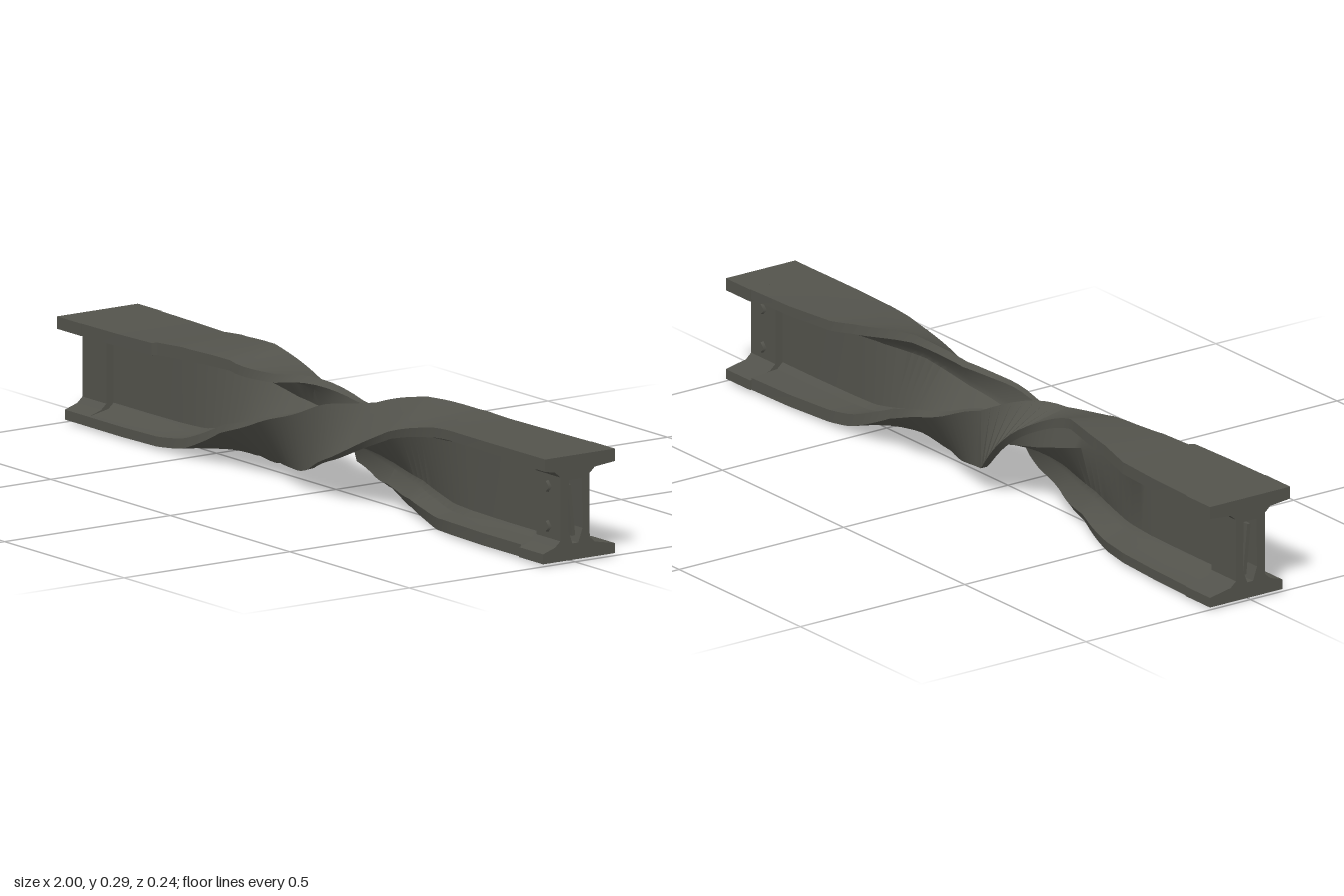
import * as THREE from 'three';
import { toCreasedNormals } from 'three/addons/utils/BufferGeometryUtils.js';

const CY = 0.135; // height of the beam axis

// piecewise linear lookup in [position, value] pairs
function lookup(keys, p) {
  for (let i = 1; i < keys.length; i++) {
    const [p0, v0] = keys[i - 1], [p1, v1] = keys[i];
    if (p <= p1) return v0 + (v1 - v0) * Math.max(0, (p - p0) / (p1 - p0));
  }
  return keys[keys.length - 1][1];
}

// I-shaped section as [z, y] points around the beam axis
function section(frontTop, frontBottom, back, web) {
  const half = (top, bottom) => [[top, 0.131], [top, 0.1], [web + 0.016, 0.094], [web, 0.08],
    [web, -0.08], [web + 0.016, -0.094], [bottom, -0.106], [bottom, -0.131]];
  return [...half(frontTop, frontBottom), ...half(back, back).reverse().map(([z, y]) => [-z, y])];
}

// squeeze in y and z and lift, by distance from the middle
const squeezeY = [[0, 0.75], [0.1, 0.71], [0.2, 0.69], [0.3, 0.8], [0.4, 0.9], [0.52, 1]];
const squeezeZ = [[0, 0.63], [0.17, 0.67], [0.35, 0.66], [0.5, 0.82], [0.65, 1]];
const lift = [[0, 0], [0.2, 0.008], [0.35, 0.018], [0.5, 0.004], [0.65, 0]];
// flange widths along the beam
const frontTop = [[-1, 0.121], [-0.62, 0.114], [-0.615, 0.1], [0, 0.1], [0.6, 0.108], [1, 0.12]];
const frontBottom = [[-1, 0.097], [0, 0.1], [0.6, 0.108], [1, 0.122]];
const backWidth = [[-1, 0.123], [-0.5, 0.108], [0, 0.1], [0.6, 0.092], [1, 0.09]];
// crown pushed up in the top flange before the twist
const crown = [[-0.62, 0], [-0.5, 0.012], [-0.35, 0.026], [-0.2, 0.026], [0, 0]];

function twistedBeam() {
  const stations = [-0.9, -0.76, -0.62, -0.615];
  for (let i = 0; i <= 48; i++) stations.push(-0.6 + i * 0.025);
  stations.push(0.75, 0.9);
  const pos = [], index = [], n = 16;
  stations.forEach((x, i) => {
    const d = Math.abs(x);
    const turn = -Math.PI * THREE.MathUtils.smoothstep(x, -0.66, 0.66);
    // the top flange stays level longer, then catches up at the middle
    const topTurn = x < 0 ? -Math.PI * THREE.MathUtils.smoothstep(x, -0.34, 0.34) : turn;
    const ripple = 1 + 0.05 * Math.sin(x * 31) * Math.max(0, 1 - d / 0.55);
    const pts = section(lookup(frontTop, x) * ripple, lookup(frontBottom, x) * ripple,
      lookup(backWidth, x) / ripple, 0.022);
    for (const [z, y] of pts) {
      const top = y > 0.09;
      const c = Math.cos(top ? topTurn : turn), s = Math.sin(top ? topTurn : turn);
      // the crown droops towards the front edge
      const bulge = top ? lookup(crown, x) * (z > 0.05 ? 0.1 : 1) : 0;
      pos.push(x,
        CY + lookup(lift, d) + bulge + (y * c - z * s) * lookup(squeezeY, d),
        (y * s + z * c) * lookup(squeezeZ, d));
    }
    if (i === 0) return;
    for (let j = 0; j < n; j++) {
      const p = (i - 1) * n + j, q = (i - 1) * n + (j + 1) % n;
      index.push(p, q, p + n, q, q + n, p + n);
    }
  });
  const g = new THREE.BufferGeometry();
  g.setAttribute('position', new THREE.Float32BufferAttribute(pos, 3));
  g.setIndex(index);
  return toCreasedNormals(g, 0.6);
}

// straight end with a thickened web and a long slot
function beamEnd(top, bottom, back) {
  const pts = section(top, bottom, back, 0.044).map(([z, y]) => new THREE.Vector2(-z, y + CY));
  const shape = new THREE.Shape(pts);
  const slot = [[0.018, 0.205], [-0.021, 0.205], [-0.023, 0.08], [-0.01, 0.045], [0.008, 0.045], [0.02, 0.08]];
  shape.holes.push(new THREE.Path(slot.map(([z, y]) => new THREE.Vector2(-z, y))));
  const g = new THREE.ExtrudeGeometry(shape, { depth: 0.1, bevelEnabled: false });
  return g.rotateY(Math.PI / 2);
}

export function createModel() {
  const group = new THREE.Group();
  const steel = new THREE.MeshStandardMaterial({ color: 0x53534c });
  steel.name = 'dark steel';
  steel.side = THREE.DoubleSide;

  const add = (name, geometry, x = 0, y = 0, z = 0) => {
    const mesh = new THREE.Mesh(geometry, steel);
    mesh.name = name;
    mesh.position.set(x, y, z);
    group.add(mesh);
    return mesh;
  };

  add('twistedBeam', twistedBeam());

  // ends, with the slot floor and a bent strip inside each slot
  add('rightBeamEnd', beamEnd(0.121, 0.097, 0.123), -1);
  add('leftBeamEnd', beamEnd(0.09, 0.096, 0.121), 0.9);
  for (const side of [-1, 1]) {
    add('slotFloor', new THREE.BoxGeometry(0.01, 0.2, 0.06), side * 0.91, 0.125, 0);
    const strip = add('slotStrip', new THREE.BoxGeometry(0.07, 0.13, 0.01), side * 0.95, 0.125, 0);
    strip.rotation.x = 0.1;
  }

  // small bolts on the web of the left end
  for (const side of [-1, 1]) {
    for (const y of [0.085, 0.185]) {
      const bolt = add('bolt', new THREE.CylinderGeometry(0.013, 0.016, 0.012, 4), 0.95, y, side * 0.046);
      bolt.rotation.x = Math.PI / 2 * side;
    }
  }

  return group;
}
